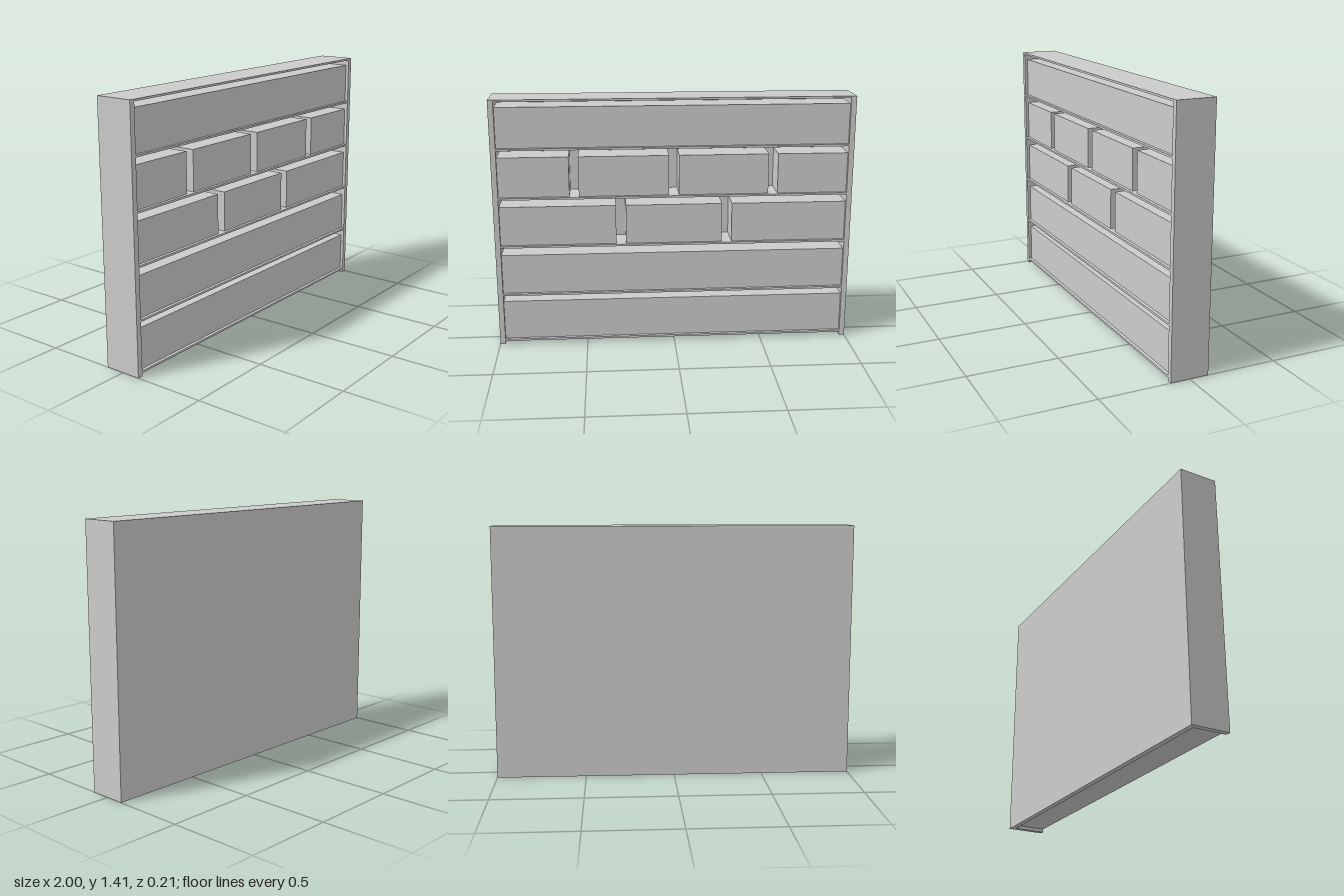
import * as THREE from 'three';

export function createModel() {
  const model = new THREE.Group();
  const material = new THREE.MeshStandardMaterial({ color: 0xcccccc, flatShading: true });

  // Box given by its limits on each axis
  function box(name, [x0, x1], [y0, y1], [z0, z1]) {
    const mesh = new THREE.Mesh(new THREE.BoxGeometry(x1 - x0, y1 - y0, z1 - z0), material);
    mesh.position.set((x0 + x1) / 2, (y0 + y1) / 2, (z0 + z1) / 2);
    mesh.name = name;
    model.add(mesh);
  }

  const height = 1.41;
  const front = 0.107;
  const back = -front;
  const inner = 0.97;
  const backFace = back + 0.03;
  const board = 0.011;

  // Case: two sides and a back, standing on the floor
  box('rightSide', [-1, -inner], [0, height], [back, front]);
  box('leftSide', [inner, 1], [0, height], [back, front]);
  box('backPanel', [-inner, inner], [0, height], [back, backFace]);
  box('topPanel', [-inner, inner], [height - board, height], [backFace, front]);

  // Shelves, each carrying blocks of books set back from the front edge
  const full = [[-inner, inner]];
  const thirds = [[-inner, -0.325], [-0.27, 0.27], [0.325, inner]];
  const quarters = [[-inner, -0.58], [-0.528, -0.028], [0.028, 0.528], [0.58, inner]];
  const rows = [
    { top: 0.03, bookTop: 0.255, blocks: full },
    { top: 0.305, bookTop: 0.53, blocks: full },
    { top: 0.588, bookTop: 0.81, blocks: thirds },
    { top: 0.865, bookTop: 1.09, blocks: quarters },
    { top: 1.142, bookTop: 1.367, blocks: full },
  ];
  rows.forEach(({ top, bookTop, blocks }, i) => {
    box(`shelf${i + 1}`, [-inner, inner], [top - board, top], [backFace, front]);
    blocks.forEach((span, j) =>
      box(`bookBlock${i + 1}_${j + 1}`, span, [top, bookTop], [backFace, front - 0.018]));
  });

  return model;
}
